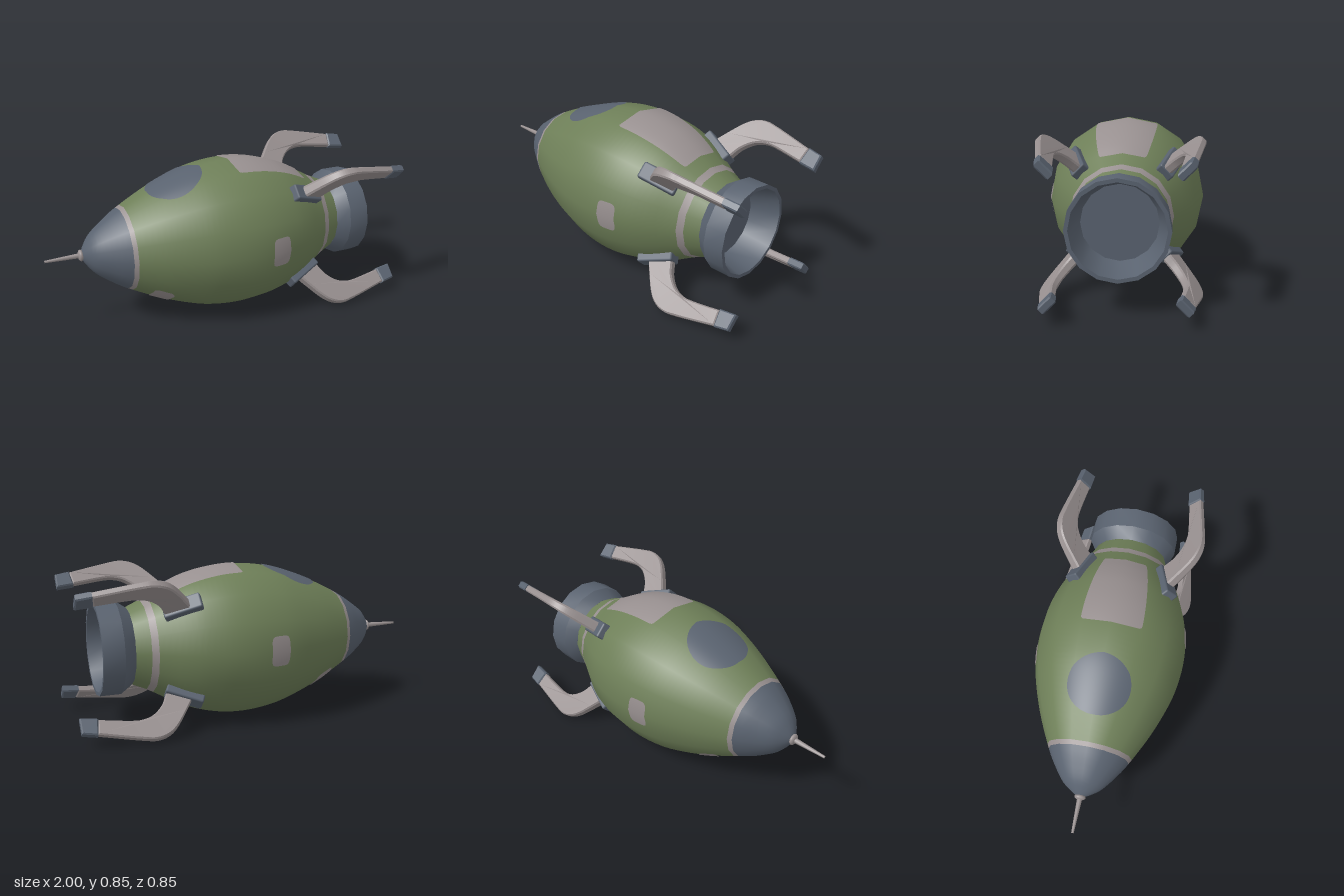
import * as THREE from 'three';
import { toCreasedNormals } from 'three/addons/utils/BufferGeometryUtils.js';
import { RoundedBoxGeometry } from 'three/addons/geometries/RoundedBoxGeometry.js';

const SIDES = 16;
const V = (x, y) => new THREE.Vector2(x, y);
const material = (name, color) => Object.assign(new THREE.MeshStandardMaterial({ color }), { name });

// Hull profile: position along the axis, radius
const hull = new THREE.SplineCurve([
  V(-0.8, 0.02), V(-0.785, 0.05), V(-0.74, 0.11), V(-0.66, 0.172), V(-0.575, 0.225), V(-0.39, 0.316),
  V(-0.205, 0.384), V(-0.07, 0.414), V(0.07, 0.425), V(0.2, 0.415), V(0.33, 0.383), V(0.425, 0.343),
  V(0.5, 0.301), V(0.565, 0.264), V(0.6, 0.246), V(0.69, 0.206),
]).getPoints(240);

function radiusAt(x) {
  let i = 1;
  while (i < hull.length - 1 && hull[i].x < x) i++;
  const a = hull[i - 1], b = hull[i];
  return a.y + (b.y - a.y) * (x - a.x) / (b.x - a.x);
}

// Radius of the many-sided hull at an angle (0 = top, 90 degrees = front)
function facetedRadius(x, angle) {
  const step = 2 * Math.PI / SIDES;
  const local = ((angle % step) + step) % step - step / 2;
  return radiusAt(x) * Math.cos(step / 2) / Math.cos(local);
}

// Lathe lying along x
function spin(points, sides = SIDES) {
  return new THREE.LatheGeometry(points, sides).rotateZ(-Math.PI / 2);
}

function hullSection(x0, x1, steps) {
  const points = [];
  for (let i = 0; i <= steps; i++) {
    // closer rings towards the nose
    const x = x0 + (x1 - x0) * Math.pow(i / steps, x0 < -0.7 ? 1.6 : 1);
    points.push(V(radiusAt(x), x));
  }
  return spin(points);
}

// Thin painted patch following the hull; power sets how square its outline is
function patch(xMid, halfLength, angleMid, halfAngle, power) {
  const N = 24, position = [], normal = [], index = [];
  for (let i = 0; i <= N; i++) {
    const u = Math.sin((i / N - 0.5) * Math.PI);
    const x = xMid + u * halfLength;
    const w = Math.pow(Math.max(0, 1 - Math.pow(Math.abs(u), power)), 1 / power);
    const slope = (radiusAt(x + 0.02) - radiusAt(x - 0.02)) / 0.04;
    for (let j = 0; j <= N; j++) {
      const a = angleMid + halfAngle(x, w) * (2 * j / N - 1);
      const r = facetedRadius(x, a) + 0.004;
      position.push(x, r * Math.cos(a), r * Math.sin(a));
      const n = new THREE.Vector3(-slope, Math.cos(a), Math.sin(a)).normalize();
      normal.push(n.x, n.y, n.z);
      if (i < N && j < N) {
        const p = i * (N + 1) + j, q = p + N + 1;
        index.push(p, p + 1, q, p + 1, q + 1, q);
      }
    }
  }
  const g = new THREE.BufferGeometry();
  g.setAttribute('position', new THREE.Float32BufferAttribute(position, 3));
  g.setAttribute('normal', new THREE.Float32BufferAttribute(normal, 3));
  g.setIndex(index);
  return g;
}

// Fin piece: flat outline, bevelled, thicker towards the root
function finPiece(shape, thickness) {
  const bevel = 0.007;
  const g = new THREE.ExtrudeGeometry(shape, {
    depth: thickness - 2 * bevel, bevelEnabled: true, bevelThickness: bevel,
    bevelSize: bevel, bevelOffset: -bevel, bevelSegments: 1, curveSegments: 10,
  }).translate(0, 0, bevel - thickness / 2);
  const p = g.attributes.position;
  for (let i = 0; i < p.count; i++) {
    const t = THREE.MathUtils.clamp((p.getX(i) - 0.38) / 0.3, 0, 1);
    p.setZ(i, p.getZ(i) * (1.7 - 0.7 * t));
  }
  return toCreasedNormals(g, 0.5);
}

export function createModel() {
  const green = material('hull green', 0x6e7f58);
  const slate = material('slate blue', 0x59626f);
  const grey = material('warm grey', 0x989090);

  const model = new THREE.Group();
  model.name = 'rocket';
  const rocket = new THREE.Group();
  rocket.name = 'rocketBody';
  rocket.position.y = 0.427;
  model.add(rocket);
  const add = (name, geometry, mat, parent = rocket) => {
    const mesh = new THREE.Mesh(geometry, mat);
    mesh.name = name;
    parent.add(mesh);
    return mesh;
  };

  // Hull, banded by colour
  add('noseCone', hullSection(-0.8, -0.575, 12), slate);
  add('noseBand', hullSection(-0.575, -0.552, 1), grey);
  add('hull', hullSection(-0.552, 0.565, 36), green);
  add('tailBand', hullSection(0.565, 0.6, 2), grey);
  add('tail', hullSection(0.6, 0.685, 4), green);

  // Antenna on the nose
  add('antennaCollar', new THREE.SphereGeometry(0.032, 12, 8).scale(0.5, 1, 1).translate(-0.805, 0, 0), grey);
  add('antenna', spin([V(0, -1), V(0.007, -1), V(0.015, -0.8)], 8), grey);

  // Engine nozzle, hollow at the back
  add('nozzle', toCreasedNormals(spin([
    V(0.2, 0.677), V(0.212, 0.677), V(0.257, 0.742), V(0.257, 0.857),
    V(0.237, 0.857), V(0.195, 0.7), V(0, 0.7),
  ]), 0.5), slate);

  // Painted windows and hatches
  const acrossZ = (half) => (x, w) => Math.asin(w * half / radiusAt(x));
  const rad = THREE.MathUtils.degToRad;
  add('roundWindow', patch(-0.265, 0.156, 0, acrossZ(0.17), 2), slate);
  add('topPanel', patch(0.278, 0.218, 0, (x, w) => 0.4 * w, 24), grey);
  [['frontHatch', 0.205, 90], ['backHatch', -0.06, -90],
    ['lowerFrontHatch', -0.415, 145], ['lowerBackHatch', -0.415, -145]].forEach(([name, x, angle]) => {
    add(name, patch(x, 0.055, rad(angle), acrossZ(0.083), 5), grey);
  });

  // Fin outlines: along the axis, distance from the axis
  const arm = new THREE.Shape();
  arm.moveTo(0.365, 0.33);
  arm.splineThru([V(0.43, 0.42), V(0.5, 0.51), V(0.555, 0.555), V(0.62, 0.573), V(0.7, 0.562), V(0.92, 0.508)]);
  arm.lineTo(0.908, 0.427);
  arm.splineThru([V(0.75, 0.453), V(0.68, 0.455), V(0.62, 0.435), V(0.565, 0.385), V(0.53, 0.32), V(0.505, 0.275)]);
  arm.closePath();
  const tip = new THREE.Shape([V(0.906, 0.421), V(1, 0.408), V(1, 0.496), V(0.92, 0.513)]);
  const armGeometry = finPiece(arm, 0.038);
  const tipGeometry = finPiece(tip, 0.042);
  const padGeometry = new RoundedBoxGeometry(0.21, 0.055, 0.09, 1, 0.01);

  // Four fins on the diagonals
  for (let i = 0; i < 4; i++) {
    const fin = new THREE.Group();
    fin.name = 'fin' + (i + 1);
    fin.rotation.x = Math.PI / 4 + i * Math.PI / 2;
    add('finArm', armGeometry, grey, fin);
    add('finTip', tipGeometry, slate, fin);
    const pad = add('finPad', padGeometry, slate, fin);
    pad.position.set(0.43, 0.343, 0);
    pad.rotation.z = -0.45;
    rocket.add(fin);
  }
  return model;
}
